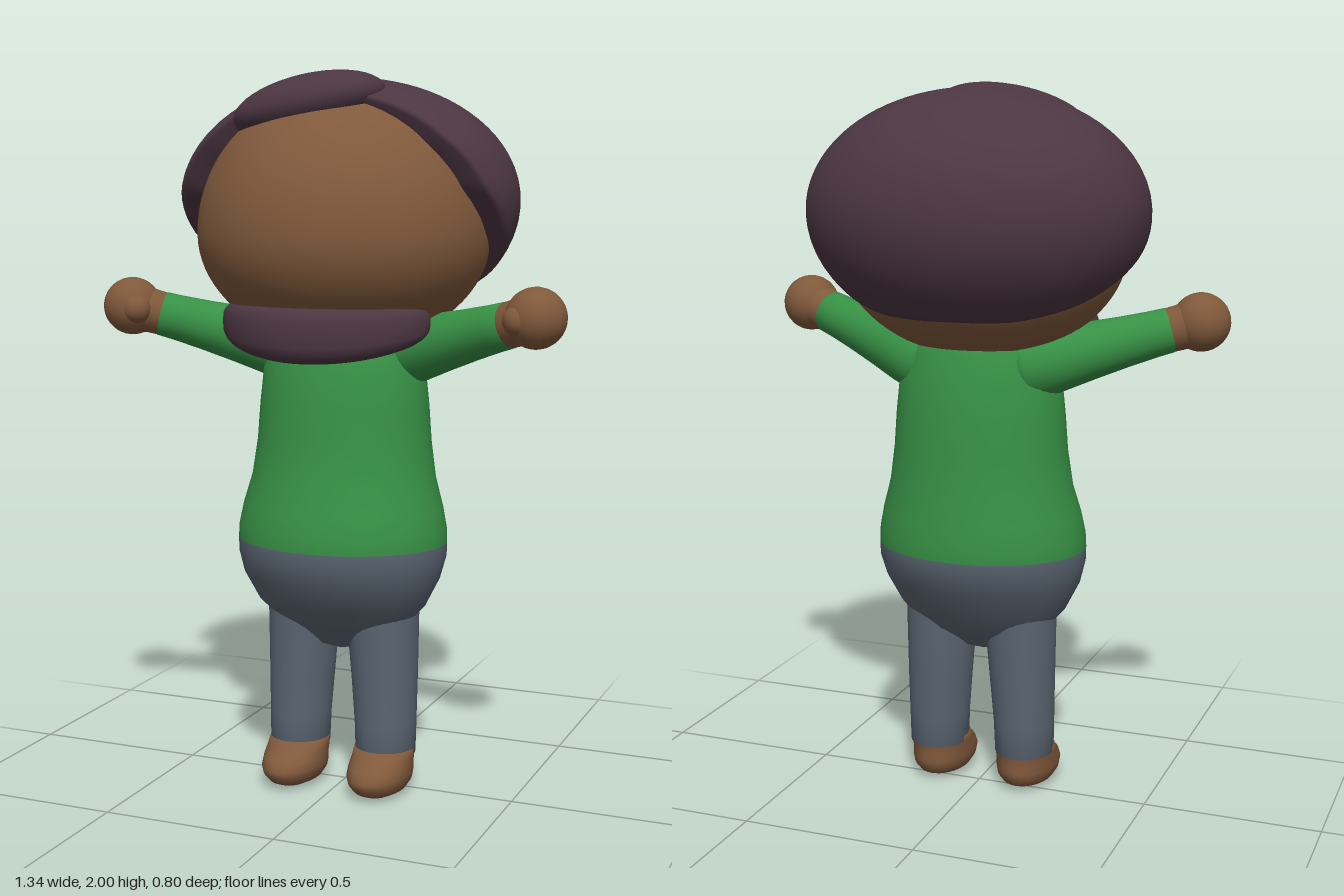
import * as THREE from 'three';

const mat = (name, color) => {
  const m = new THREE.MeshStandardMaterial({ color });
  m.name = name;
  return m;
};

// Closed smooth surface from rings: point(i, angle) gives each vertex.
function rings(rows, cols, point) {
  const pos = [], index = [];
  for (let i = 0; i <= rows; i++)
    for (let j = 0; j < cols; j++) pos.push(...point(i, (j / cols) * Math.PI * 2));
  for (let i = 0; i < rows; i++)
    for (let j = 0; j < cols; j++) {
      const k = (j + 1) % cols;
      const a = i * cols + j, b = i * cols + k, c = b + cols, d = a + cols;
      index.push(a, b, c, a, c, d);
    }
  const g = new THREE.BufferGeometry();
  g.setAttribute('position', new THREE.Float32BufferAttribute(pos, 3));
  g.setIndex(index);
  g.computeVertexNormals();
  return g;
}

// Stack of horizontal ellipses; each section is [y, centreX, centreZ, radiusX, radiusZ].
const loft = (sections, cols = 40) =>
  rings(sections.length - 1, cols, (i, a) => {
    const [y, cx, cz, rx, rz] = sections[i];
    return [cx + rx * Math.sin(a), y, cz + rz * Math.cos(a)];
  });

// Piecewise linear lookup in [[key, value], ...] with rising keys.
function lookup(table, k) {
  if (k <= table[0][0]) return table[0][1];
  for (let i = 1; i < table.length; i++)
    if (k <= table[i][0]) {
      const [k0, v0] = table[i - 1], [k1, v1] = table[i];
      return v0 + ((v1 - v0) * (k - k0)) / (k1 - k0);
    }
  return table[table.length - 1][1];
}

export function createModel() {
  const skin = mat('skin', 0x80593b);
  const shirt = mat('shirt green', 0x379045);
  const trousers = mat('trouser grey', 0x5a6571);
  const hair = mat('hair plum', 0x4c3642);

  const model = new THREE.Group();
  model.name = 'figure';
  const add = (name, geometry, material, parent = model) => {
    const m = new THREE.Mesh(geometry, material);
    m.name = name;
    parent.add(m);
    return m;
  };

  // Torso: hips below row 6, shirt above
  const body = [
    [0.4, 0, 0.03, 0, 0], [0.42, 0, 0.03, 0.08, 0.05], [0.48, 0, 0.02, 0.19, 0.11],
    [0.54, 0, 0.03, 0.245, 0.165], [0.62, 0, 0.03, 0.285, 0.22], [0.68, 0, 0.026, 0.3, 0.243],
    [0.72, 0, 0.025, 0.301, 0.246], [0.76, 0, 0.024, 0.299, 0.244], [0.82, 0, 0.021, 0.287, 0.234],
    [0.9, 0, 0.015, 0.264, 0.216], [1.0, 0, 0.011, 0.25, 0.202], [1.1, 0, 0.01, 0.243, 0.193],
    [1.2, 0, 0.01, 0.233, 0.178], [1.28, 0, 0.006, 0.21, 0.152], [1.34, 0, 0, 0.175, 0.125],
    [1.39, 0, 0, 0.1, 0.08],
  ];
  const torso = loft(body, 48);
  const split = 6 * 48 * 6;
  torso.addGroup(0, split, 0);
  torso.addGroup(split, torso.index.count - split, 1);
  add('torso', torso, [trousers, shirt]);

  // Legs, feet, arms and hands on both sides
  for (const s of [1, -1]) {
    const side = s > 0 ? 'left' : 'right';
    add(side + 'Leg', loft([
      [0.105, s * 0.132, 0.022, 0.06, 0.07], [0.11, s * 0.132, 0.022, 0.084, 0.094],
      [0.2, s * 0.131, 0.02, 0.087, 0.094], [0.32, s * 0.127, 0.017, 0.093, 0.098],
      [0.45, s * 0.122, 0.016, 0.1, 0.102], [0.58, s * 0.12, 0.016, 0.104, 0.105],
    ], 28), trousers);
    add(side + 'Foot', loft([
      [0.003, s * 0.131, 0.06, 0, 0], [0.006, s * 0.131, 0.06, 0.045, 0.075],
      [0.02, s * 0.131, 0.06, 0.071, 0.108], [0.04, s * 0.131, 0.061, 0.084, 0.127],
      [0.062, s * 0.131, 0.062, 0.088, 0.132], [0.085, s * 0.131, 0.055, 0.087, 0.121],
      [0.108, s * 0.131, 0.037, 0.086, 0.105], [0.128, s * 0.131, 0.026, 0.085, 0.096],
      [0.14, s * 0.131, 0.022, 0.06, 0.07],
    ], 28), skin);

    const arm = new THREE.Group();
    arm.name = side + 'Arm';
    arm.position.set(s * 0.14, 1.24, -0.02);
    const reach = new THREE.Vector3(s * 0.45, 0.125, 0.17);
    const length = reach.length();
    arm.quaternion.setFromUnitVectors(new THREE.Vector3(0, 1, 0), reach.clone().normalize());
    model.add(arm);
    const turned = (pts) => new THREE.LatheGeometry(pts.map(([r, y]) => new THREE.Vector2(r, y)), 28);
    add(side + 'Sleeve', turned([
      [0, -0.06], [0.07, -0.05], [0.098, 0], [0.092, 0.08], [0.08, 0.18],
      [0.07, 0.28], [0.064, 0.36], [0.062, 0.41], [0.05, 0.412],
    ]), shirt, arm);
    add(side + 'Wrist', turned([[0.055, 0.39], [0.061, 0.41], [0.062, 0.44], [0.068, 0.47]]), skin, arm);
    add(side + 'Hand', new THREE.SphereGeometry(0.081, 28, 20).translate(0, length, 0), skin, arm);
    const thumb = add(side + 'Thumb', new THREE.SphereGeometry(0.042, 20, 14), skin);
    thumb.position.set(s * 0.555, 1.36, 0.19);
  }

  // Head: rounder at the front, flatter at the back and under the chin
  const head = new THREE.SphereGeometry(1, 56, 40);
  const hp = head.attributes.position;
  for (let i = 0; i < hp.count; i++) {
    const x = hp.getX(i), y = hp.getY(i), z = hp.getZ(i);
    hp.setXYZ(i, x * 0.41, 1.57 + y * (y > 0 ? 0.4 : 0.31), z * (z > 0 ? 0.4 : 0.3));
  }
  head.computeVertexNormals();
  add('head', head, skin);

  // Hair: domed cap that ends along a slanted hairline, rim turned inwards
  const hairline = [
    [1.375, -0.6], [1.39, -0.22], [1.43, -0.15], [1.56, 0],
    [1.7, 0.12], [1.83, 0.165], [1.91, 0.17],
  ];
  const hairPoint = (theta, a, k) => {
    const c = Math.cos(theta), r = Math.sin(theta);
    const dx = r * Math.sin(a);
    const dy = 0.6 * c + 0.8 * r * Math.cos(a);
    const dz = -0.8 * c + 0.6 * r * Math.cos(a);
    return [k * dx * 0.481, 1.66 + k * dy * (dy > 0 ? 0.333 : 0.35), -0.02 + k * dz * 0.382];
  };
  const hairLimit = (a) => {
    let lo = 0, hi = 2.6;
    for (let n = 0; n < 24; n++) {
      const mid = (lo + hi) / 2;
      const [, y, z] = hairPoint(mid, a, 1);
      if (z < lookup(hairline, y)) lo = mid;
      else hi = mid;
    }
    return lo;
  };
  const rows = 30;
  add('hair', rings(rows, 72, (i, a) => {
    const limit = hairLimit(a);
    if (i === 0) return hairPoint(limit + 0.03, a, 0.84);
    if (i === 1) return hairPoint(limit + 0.025, a, 0.975);
    return hairPoint(limit * (1 - (i - 2) / (rows - 2)), a, 1);
  }), hair);

  // Swept fringe above the forehead
  const fringe = add('fringe', new THREE.SphereGeometry(1, 36, 24), hair);
  fringe.scale.set(0.22, 0.083, 0.143);
  fringe.position.set(-0.06, 1.913, 0.113);
  fringe.rotation.z = 0.2;

  // Beard: thick band curving round the chin, blunt at both ends
  const n = 40;
  const bend = (v, p) => Math.sign(v) * Math.pow(Math.abs(v), p);
  add('beard', rings(n, 24, (i, a) => {
    const u = Math.sin(((i / n) * 2 - 1) * Math.PI / 2);
    const phi = u * 1.25;
    const taper = Math.sqrt(Math.max(0, 1 - Math.pow(Math.abs(u), 10)));
    const bottom = 1.235 + 0.065 * u * u, top = 1.393;
    const y = (top + bottom) / 2 + taper * ((top - bottom) / 2) * bend(Math.sin(a), 0.65);
    const r = 0.265 - taper * 0.085 * bend(Math.cos(a), 0.65);
    return [r * Math.sin(phi) * 0.99, y, r * Math.cos(phi)];
  }), hair);

  return model;
}
